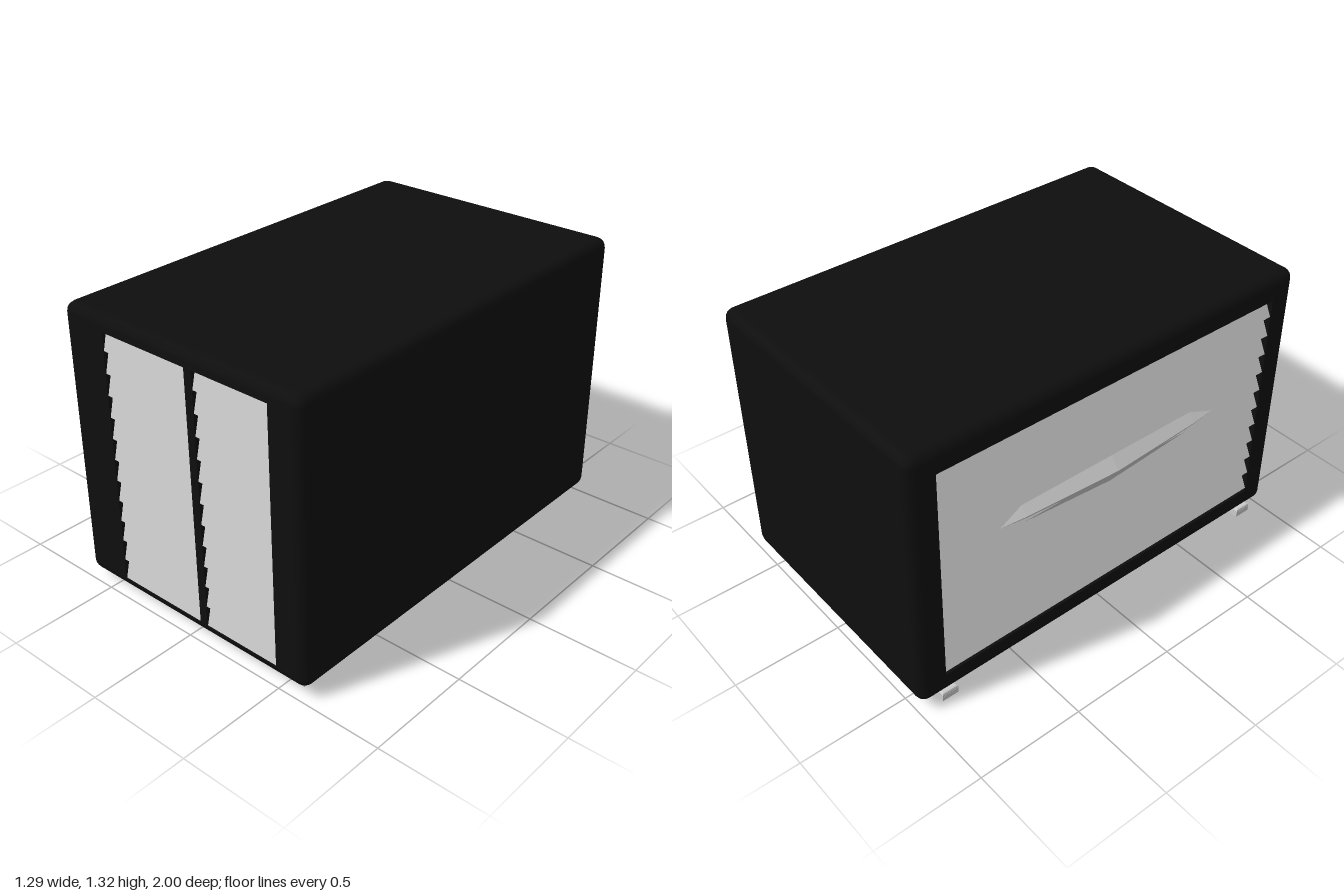
import * as THREE from 'three';
import { RoundedBoxGeometry } from 'three/addons/geometries/RoundedBoxGeometry.js';

const black = new THREE.MeshStandardMaterial({ color: 0x0e0e0e, side: THREE.DoubleSide });
const grey = new THREE.MeshStandardMaterial({ color: 0xcccccc, flatShading: true, side: THREE.DoubleSide });

// Case extents
const X0 = -0.62, X1 = 0.645, Y0 = 0.055, Y1 = 1.32, R = 0.045;
const CX = (X0 + X1) / 2, CY = (Y0 + Y1) / 2;

function mesh(name, geometry, material) {
  const m = new THREE.Mesh(geometry, material);
  m.name = name;
  return m;
}

function rect(path, x0, y0, x1, y1) {
  path.moveTo(x0, y0).lineTo(x1, y0).lineTo(x1, y1).lineTo(x0, y1).closePath();
  return path;
}

// Flat plate with rectangular holes
function plate(outer, holes, depth) {
  const shape = rect(new THREE.Shape(), ...outer);
  for (const h of holes) shape.holes.push(rect(new THREE.Path(), ...h));
  return new THREE.ExtrudeGeometry(shape, { depth, bevelEnabled: false });
}

// Rounded shell with the flat front (+z) and louvred side (-x) left open
function caseShell() {
  const box = new RoundedBoxGeometry(X1 - X0, Y1 - Y0, 2, 2, R);
  const p = box.attributes.position, n = box.attributes.normal;
  const pos = [], nor = [];
  for (let i = 0; i < p.count; i += 3) {
    const all = test => [i, i + 1, i + 2].every(test);
    if (all(k => p.getZ(k) > 0.9999) || all(k => p.getX(k) < (X0 - X1) / 2 + 0.0001)) continue;
    for (let k = i; k < i + 3; k++) {
      pos.push(p.getX(k) + CX, p.getY(k) + CY, p.getZ(k));
      nor.push(n.getX(k), n.getY(k), n.getZ(k));
    }
  }
  const g = new THREE.BufferGeometry();
  g.setAttribute('position', new THREE.Float32BufferAttribute(pos, 3));
  g.setAttribute('normal', new THREE.Float32BufferAttribute(nor, 3));
  return g;
}

// Sawtooth louvre panel: profile in (outward, y), swept along its width
function louvres(width, y0, pitch, count, depth, lip) {
  const s = new THREE.Shape();
  s.moveTo(-0.06, y0);
  for (let i = 0; i < count; i++) {
    const y = y0 + i * pitch;
    s.lineTo(-depth, y);
    s.lineTo(0, y + lip);
  }
  s.lineTo(-depth, y0 + count * pitch);
  s.lineTo(-0.06, y0 + count * pitch);
  const g = new THREE.ExtrudeGeometry(s, { depth: width, bevelEnabled: false });
  return g.translate(0, 0, -width / 2);
}

// Long ridge bowing out of the side louvres
function bentSlat() {
  const zs = [-0.875, -0.46, 0, 0.46, 0.875];
  const ridge = [-0.575, -0.62, -0.645, -0.62, -0.575];
  const section = [[0.067, 0.85], [0, 0.77], [0.05, 0.68]];
  const g = new THREE.PlaneGeometry(1, 1, zs.length - 1, section.length - 1);
  const p = g.attributes.position;
  for (let i = 0; i < p.count; i++) {
    const c = i % zs.length, [dx, y] = section[Math.floor(i / zs.length)];
    p.setXYZ(i, ridge[c] + dx, y, zs[c]);
  }
  g.computeVertexNormals();
  return g;
}

// Foot rail: bevelled top over a rim that is hollow underneath
function footRail(z) {
  const rail = new THREE.Group();
  const x0 = -0.61, x1 = 0.57, w = 0.04;
  const rim = plate([x0, -w, x1, w], [[x0 + 0.02, -w + 0.02, x1 - 0.02, w - 0.02]], 0.025);
  rim.rotateX(-Math.PI / 2);
  const b = 0.009;
  const top = new THREE.ExtrudeGeometry(rect(new THREE.Shape(), x0 + b, -w + b, x1 - b, w - b), {
    depth: 0.005, bevelEnabled: true, bevelSize: b, bevelThickness: b, bevelSegments: 2,
  });
  top.rotateX(-Math.PI / 2).translate(0, 0.027, 0);
  rail.add(mesh('railRim', rim, grey), mesh('railTop', top, grey));
  rail.position.z = z;
  rail.name = 'footRail';
  return rail;
}

export function createModel() {
  const model = new THREE.Group();
  model.name = 'louvredCabinet';
  model.add(mesh('caseShell', caseShell(), black));

  // Front frame with two openings
  const openings = [[-0.385, 0.105, 0.07, 1.255], [0.11, 0.105, 0.49, 1.255]];
  const front = plate([X0 + R, Y0 + R, X1 - R, Y1 - R], openings, 0.06);
  front.translate(0, 0, 0.94);
  model.add(mesh('frontFrame', front, black));

  // Front louvres
  for (const [x0, , x1] of openings) {
    const g = louvres(x1 - x0, 0.0875, 0.0975, 12, 0.02, 0.015);
    g.rotateY(-Math.PI / 2).translate((x0 + x1) / 2, 0, 0.998);
    model.add(mesh('frontLouvres', g, grey));
  }

  // Side frame with one wide opening
  const side = plate([-1 + R, Y0 + R, 1 - R, Y1 - R], [[-0.875, 0.16, 0.875, 1.21]], 0.06);
  side.rotateY(-Math.PI / 2).translate(X0 + 0.06, 0, 0);
  model.add(mesh('sideFrame', side, black));

  // Side louvres and the bent slat
  const sideLouvres = louvres(1.75, 0.16, 1.05 / 11, 11, 0.04, 0.015);
  sideLouvres.rotateY(Math.PI).translate(X0 + 0.002, 0, 0);
  model.add(mesh('sideLouvres', sideLouvres, grey));
  model.add(mesh('bentSlat', bentSlat(), grey));

  // Feet
  for (const z of [0.89, -0.85]) model.add(footRail(z));
  return model;
}
